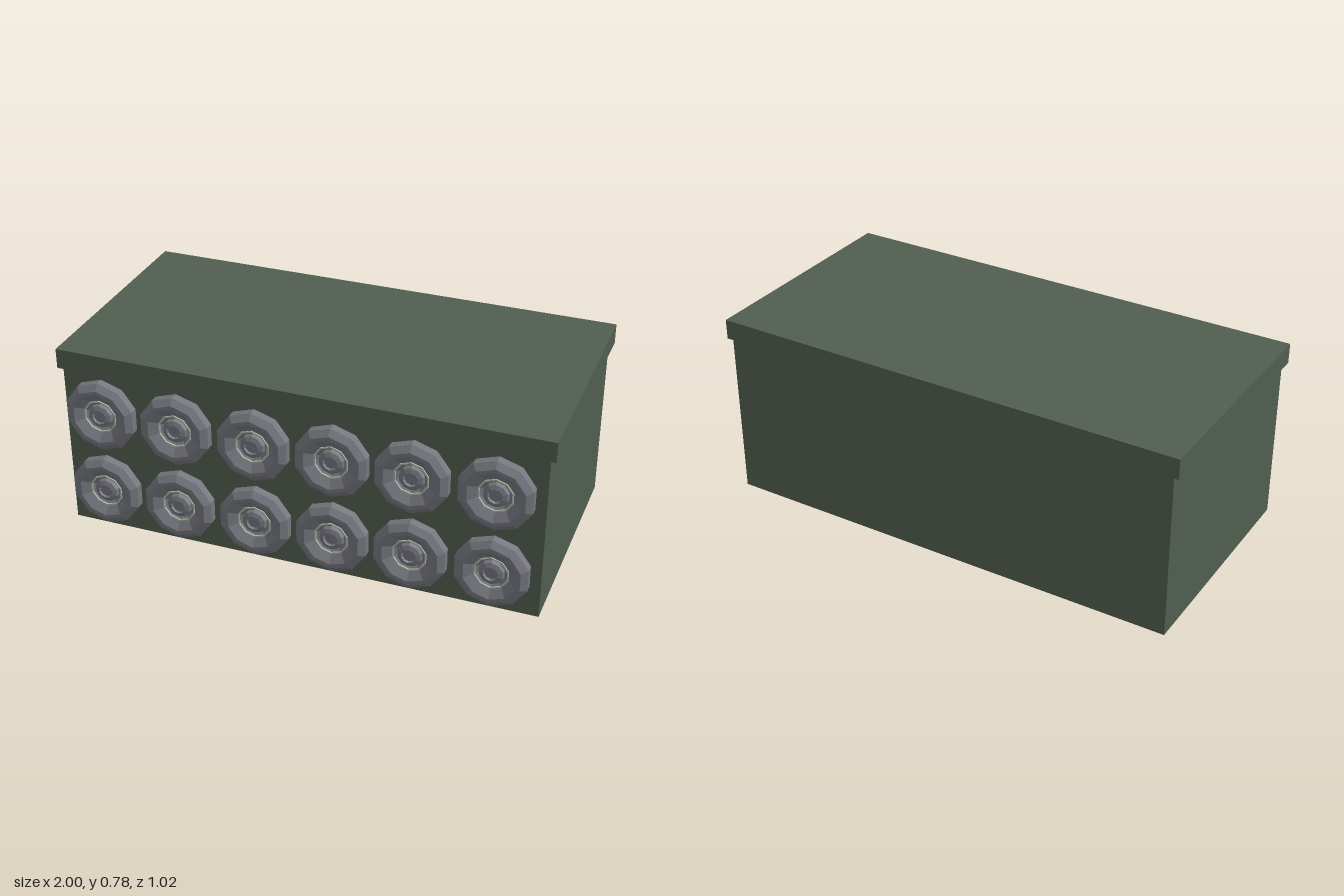
import * as THREE from 'three';

export function createModel() {
  const model = new THREE.Group();
  const green = new THREE.MeshStandardMaterial({ color: 0x515e50 });
  green.name = 'dull green';
  const grey = new THREE.MeshStandardMaterial({ color: 0x76777f, flatShading: true });
  grey.name = 'metal grey';
  const pale = new THREE.MeshStandardMaterial({ color: 0xa9b9a4, flatShading: true });
  pale.name = 'pale green';

  // box spanning the given limits
  function block(name, x, y0, y1, z0, z1) {
    const mesh = new THREE.Mesh(new THREE.BoxGeometry(2 * x, y1 - y0, z1 - z0), green);
    mesh.position.set(0, (y0 + y1) / 2, (z0 + z1) / 2);
    mesh.name = name;
    model.add(mesh);
  }
  block('body', 0.978, 0, 0.7, -0.5, 0.457);
  block('lid', 1, 0.694, 0.777, -0.508, 0.466);

  // ten-sided turned part facing +z; points are [radius, depth]
  const turned = (points) => new THREE.LatheGeometry(
    points.map(([r, d]) => new THREE.Vector2(r, d)), 10).rotateX(Math.PI / 2);

  // bevelled rim, recessed dish and raised hub
  const dish = turned([[0.15, 0], [0.15, 0.034], [0.124, 0.053], [0.108, 0.053],
    [0.072, 0.03], [0.066, 0.03], [0.052, 0.018], [0.048, 0.034],
    [0.03, 0.04], [0.026, 0.032], [0, 0.032]]);
  const ring = turned([[0.072, 0.03], [0.071, 0.034], [0.065, 0.034], [0.064, 0.028]]);

  for (const y of [0.522, 0.177]) {
    for (const x of [-0.815, -0.493, -0.168, 0.153, 0.47, 0.792]) {
      const port = new THREE.Group();
      port.name = 'roundPort';
      const dishMesh = new THREE.Mesh(dish, grey);
      dishMesh.name = 'dish';
      const ringMesh = new THREE.Mesh(ring, pale);
      ringMesh.name = 'trimRing';
      port.add(dishMesh, ringMesh);
      port.position.set(x, y, 0.457);
      model.add(port);
    }
  }
  return model;
}
